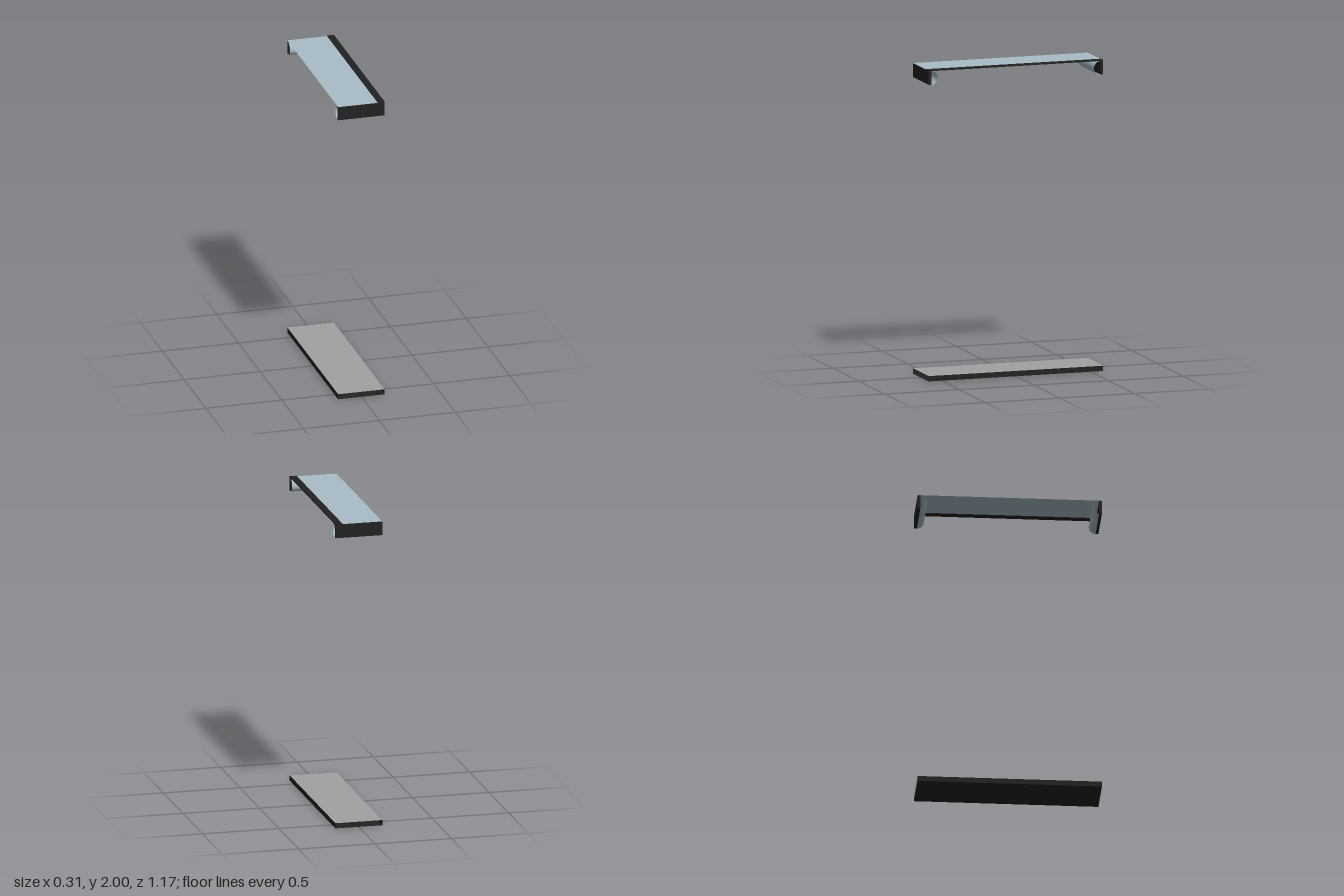
import * as THREE from 'three';

const W = 0.306, L = 1.17; // shared width (x) and length (z)
const BASE_H = 0.034, FLANGE_TOP = 1.993, FLANGE_BOTTOM = 1.906;

export function createModel() {
  const model = new THREE.Group();
  model.name = 'displayFrame';

  const mat = (name, color) => {
    const m = new THREE.MeshStandardMaterial({ color, side: THREE.DoubleSide });
    m.name = name;
    return m;
  };
  const black = mat('black', 0x222222);
  const glass = mat('paleBlue', 0xa9bdc6);
  const grey = mat('warmGrey', 0xa2a0a4);

  const add = (name, geometry, material, x, y, z, parent = model) => {
    const mesh = new THREE.Mesh(geometry, material);
    mesh.name = name;
    mesh.position.set(x, y, z);
    parent.add(mesh);
    return mesh;
  };
  const sheet = (w, l) => new THREE.PlaneGeometry(w, l).rotateX(-Math.PI / 2);

  // Base: a flat sleeve, open at its two short ends
  const base = new THREE.Group();
  base.name = 'base';
  model.add(base);
  add('baseTop', sheet(W, L), grey, 0, BASE_H, 0, base);
  add('baseBottom', sheet(W, L).rotateZ(Math.PI), black, 0, 0, 0, base);
  for (const s of [-1, 1]) {
    const wall = new THREE.PlaneGeometry(L, BASE_H).rotateY(s * Math.PI / 2);
    add('baseWall', wall, black, s * W / 2, BASE_H / 2, 0, base);
  }

  // Top panel with a dark strip along its left edge
  const stripW = 0.045;
  add('topPanel', sheet(W - stripW, L), glass, -stripW / 2, 1.996, 0);
  add('edgeStrip', new THREE.BoxGeometry(stripW, 2 - FLANGE_TOP, L), black,
    W / 2 - stripW / 2, (2 + FLANGE_TOP) / 2, 0);

  // End flanges, each with an open half-round lining on its inner face
  const h = FLANGE_TOP - FLANGE_BOTTOM, t = 0.018;
  for (const s of [-1, 1]) {
    const end = new THREE.Group();
    end.name = s > 0 ? 'frontEnd' : 'backEnd';
    end.position.set(0, (FLANGE_TOP + FLANGE_BOTTOM) / 2, s * L / 2);
    if (s > 0) end.rotation.y = Math.PI;
    model.add(end);
    add('flange', new THREE.BoxGeometry(W, h, t), black, 0, 0, t / 2, end);
    const half = new THREE.CylinderGeometry(h / 2, h / 2, W, 24, 1, true, -Math.PI / 2, Math.PI);
    add('halfRoundLining', half.rotateZ(Math.PI / 2), glass, 0, 0, t, end);
  }
  return model;
}
